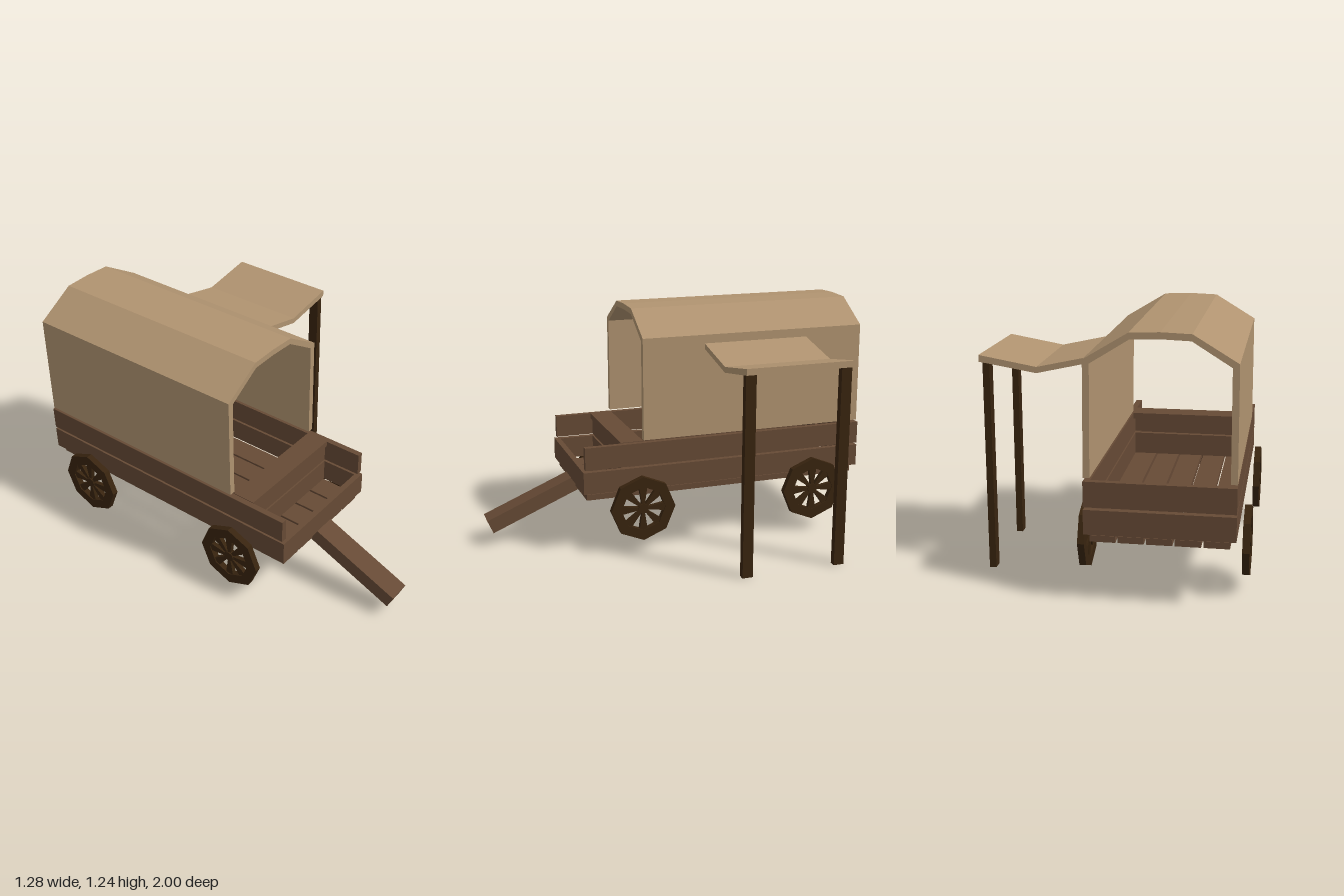
import * as THREE from 'three';

const wood = new THREE.MeshStandardMaterial({ name: 'brown wood', color: 0x664a35 });
const dark = new THREE.MeshStandardMaterial({ name: 'dark wood', color: 0x38240f });
const canvas = new THREE.MeshStandardMaterial({ name: 'canvas', color: 0xb09370 });

const toShape = (pts) => new THREE.Shape(pts.map(([x, y]) => new THREE.Vector2(x, y)));

// Extrude a shape along z, between z0 and z1
function prism(name, shape, z0, z1, material) {
  const geo = new THREE.ExtrudeGeometry(shape, { depth: z1 - z0, bevelEnabled: false });
  geo.translate(0, 0, z0);
  const mesh = new THREE.Mesh(geo, material);
  mesh.name = name;
  return mesh;
}

// Box given by its limits on each axis
function block(name, [x0, x1], [y0, y1], [z0, z1], material) {
  const mesh = new THREE.Mesh(new THREE.BoxGeometry(x1 - x0, y1 - y0, z1 - z0), material);
  mesh.position.set((x0 + x1) / 2, (y0 + y1) / 2, (z0 + z1) / 2);
  mesh.name = name;
  return mesh;
}

const octagon = (r) => Array.from({ length: 8 }, (_, i) => {
  const a = (i * Math.PI) / 4;
  return [r * Math.cos(a), r * Math.sin(a)];
});

// Eight-sided wheel with spokes that widen toward the rim
function wheel(name, x, z) {
  const g = new THREE.Group();
  g.name = name;
  const rim = toShape(octagon(0.172));
  rim.holes.push(toShape(octagon(0.118)));
  g.add(prism('rim', rim, -0.016, 0.016, dark));
  g.add(prism('hub', toShape(octagon(0.028)), -0.016, 0.016, dark));
  for (let i = 0; i < 8; i++) {
    const spoke = prism('spoke', toShape([[0.02, -0.007], [0.122, -0.023], [0.122, 0.023], [0.02, 0.007]]),
      -0.011, 0.011, dark);
    spoke.rotation.z = (i * Math.PI) / 4;
    g.add(spoke);
  }
  g.rotation.y = -Math.PI / 2;
  g.position.set(x, 0.236, z);
  return g;
}

export function createModel() {
  const model = new THREE.Group();
  model.name = 'coveredWagon';
  const L = -0.59, R = 0.086, T = 0.03;
  const lower = [0.328, 0.443], upper = [0.455, 0.573];

  // Floor slats
  for (let i = 0; i < 5; i++) {
    const x = -0.562 + i * 0.127;
    model.add(block('floorSlat', [x, x + 0.116], [0.287, 0.317], [-0.975, 0.525], wood));
  }

  // Side, tail and front boards
  for (const x of [L, R - T]) {
    model.add(block('lowerSideBoard', [x, x + T], lower, [-1, 0.515], wood));
    model.add(block('upperSideBoard', [x, x + T], upper, [-1, 0.535], wood));
  }
  for (const y of [lower, upper]) model.add(block('tailBoard', [L + T, R - T], y, [-1, -0.97], wood));
  model.add(block('frontBoard', [L, R], lower, [0.515, 0.545], wood));

  // Driver's bench with a two-board riser
  const inside = [L + T, R - T];
  model.add(block('benchSeat', inside, [0.545, 0.576], [0.22, 0.34], wood));
  model.add(block('benchRiser', inside, [0.455, 0.545], [0.3, 0.33], wood));
  model.add(block('benchRiser', inside, lower, [0.3, 0.33], wood));

  // Sloping draw pole
  const pole = prism('drawPole', toShape([[1, 0.14], [0.97, 0.07], [0.505, 0.265], [0.535, 0.335]]),
    0.195, 0.31, wood);
  pole.rotation.y = -Math.PI / 2;
  model.add(pole);

  // Wheels
  for (const [end, z] of [['front', 0.245], ['rear', -0.715]]) {
    model.add(wheel(end + 'RightWheel', -0.626, z));
    model.add(wheel(end + 'LeftWheel', 0.123, z));
  }

  // Canvas cover: half profile mirrored about the wagon's middle
  const cx = -0.252;
  const outer = [[0.338, 0.587], [0.335, 1.113], [0.135, 1.234], [0, 1.239]];
  const inner = [[0, 1.209], [0.132, 1.204], [0.305, 1.096], [0.308, 0.587]];
  const half = (pts, s) => pts.map(([x, y]) => [cx + s * x, y]);
  const cover = [
    ...half(outer, 1), ...half(outer.slice(0, 3).reverse(), -1),
    ...half(inner.slice(1).reverse(), -1), ...half(inner, 1),
  ];
  model.add(prism('canvasCover', toShape(cover), -0.99, 0.225, canvas));

  // Sagging awning on two posts
  const awning = [[0.08, 1.041], [0.365, 0.977], [0.638, 1.022], [0.638, 1.054], [0.365, 1.006], [0.08, 1.069]];
  model.add(prism('awning', toShape(awning), -0.672, -0.105, canvas));
  for (const z of [-0.135, -0.632]) {
    model.add(block('awningPost', [0.591, 0.624], [0, 1.022], [z - 0.027, z + 0.027], dark));
  }
  return model;
}
